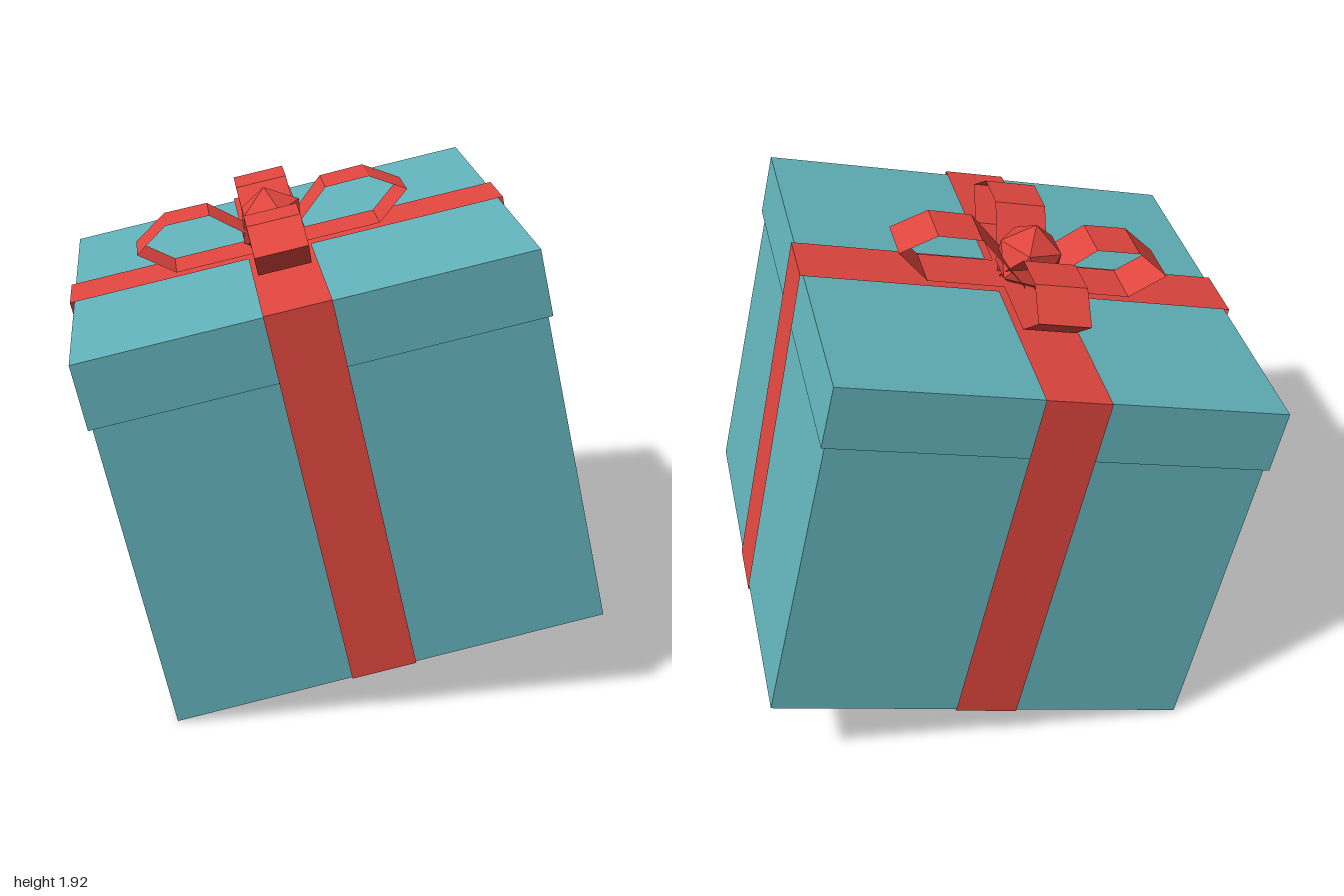
import * as THREE from 'three';

const teal = new THREE.MeshStandardMaterial({ color: 0x62b2ba, flatShading: true });
const red = new THREE.MeshStandardMaterial({ color: 0xe0463e, flatShading: true, side: THREE.DoubleSide });

function mesh(name, geometry, material, parent) {
  const m = new THREE.Mesh(geometry, material);
  m.name = name;
  parent.add(m);
  return m;
}

// Thin closed band: counter-clockwise xy outline swept along z
function band(points, width) {
  const h = width / 2, pos = [];
  points.forEach(([px, py], i) => {
    const [qx, qy] = points[(i + 1) % points.length];
    pos.push(px, py, h, px, py, -h, qx, qy, -h);
    pos.push(px, py, h, qx, qy, -h, qx, qy, h);
  });
  const g = new THREE.BufferGeometry();
  g.setAttribute('position', new THREE.Float32BufferAttribute(pos, 3));
  g.computeVertexNormals();
  return g;
}

export function createModel() {
  const root = new THREE.Group();
  root.name = 'giftBox';

  // Everything is built upright, then tipped sideways
  const gift = new THREE.Group();
  gift.name = 'tiltedGift';
  gift.rotation.z = 0.22;
  gift.position.set(0.173, 0.187, 0);
  root.add(gift);

  // Box and lid
  mesh('boxBody', new THREE.BoxGeometry(1.67, 1.24, 1.67), teal, gift).position.y = 0.62;
  mesh('lid', new THREE.BoxGeometry(1.7, 0.253, 1.7), teal, gift).position.y = 1.3585;

  // Ribbons wrapped around the box, a little wider at the top
  const wrap = band([[-0.84, -0.004], [0.84, -0.004], [0.865, 1.493], [-0.865, 1.493]], 0.25);
  mesh('sideRibbon', wrap, red, gift).position.z = -0.004;
  const front = mesh('frontRibbon', wrap, red, gift);
  front.rotation.y = Math.PI / 2;
  front.position.x = -0.028;

  // Bow with four loops
  const bow = new THREE.Group();
  bow.name = 'bow';
  bow.position.set(-0.03, 0, -0.006);
  gift.add(bow);
  const loop = band([
    [0.02, 1.503], [0.407, 1.503], [0.538, 1.608],
    [0.403, 1.694], [0.23, 1.692], [0.02, 1.51],
  ], 0.205);
  for (let i = 0; i < 4; i++) {
    mesh('bowLoop' + (i + 1), loop, red, bow).rotation.y = i * Math.PI / 2;
  }

  // Faceted knot with one corner pointing up
  const knot = new THREE.IcosahedronGeometry(0.14, 0);
  knot.rotateZ(-0.5536);
  mesh('knot', knot, red, bow).position.y = 1.585;

  return root;
}
